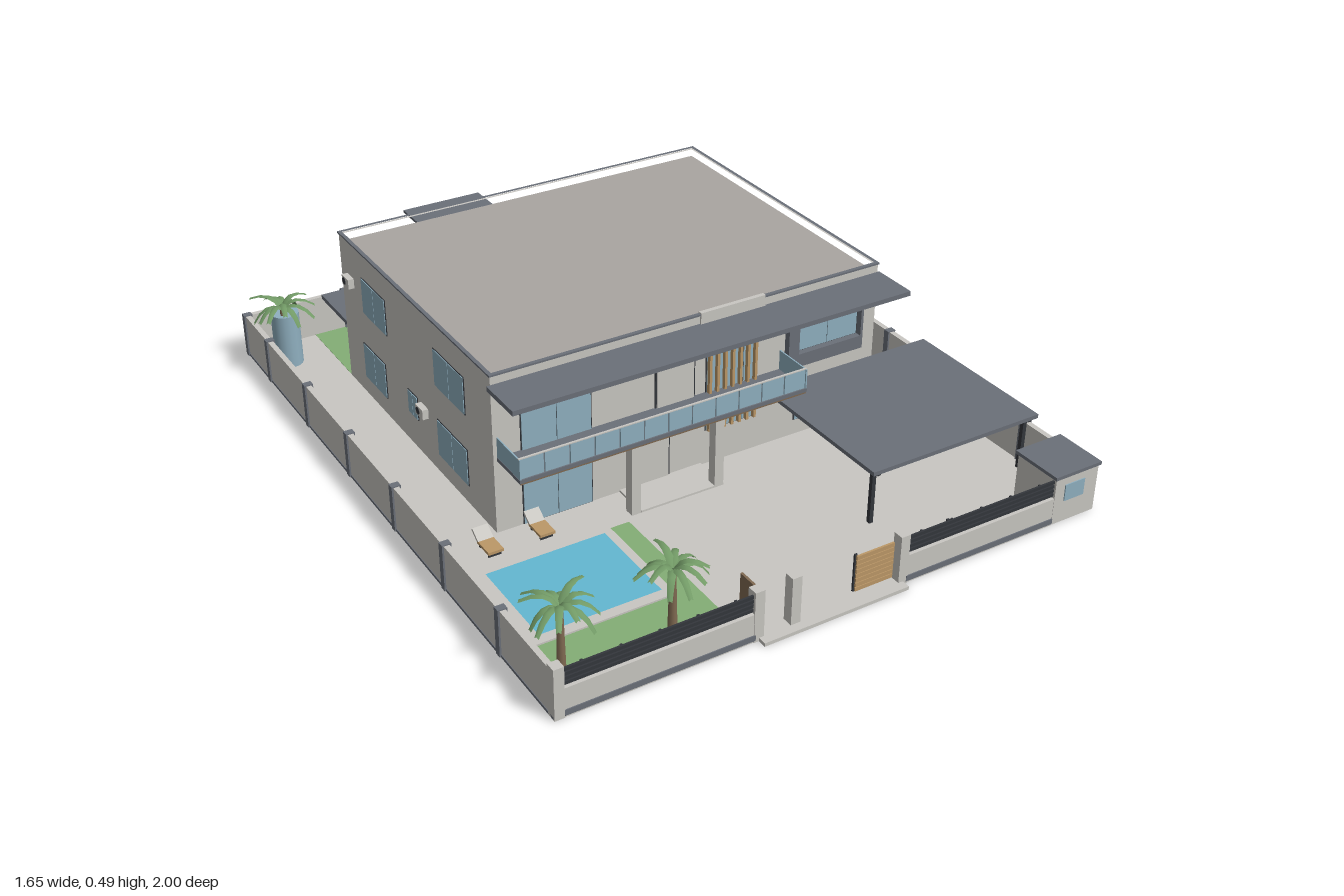
import * as THREE from 'three';

const mat = (name, color) => {
  const m = new THREE.MeshStandardMaterial({ color });
  m.name = name;
  return m;
};

export function createModel() {
  const M = {
    wall: mat('pale plaster', 0xc9c7c2), roof: mat('roof screed', 0xaaa5a1), slate: mat('slate grey', 0x6b7079),
    glass: mat('window glass', 0x90b0c0), water: mat('pool water', 0x63b8d2), grass: mat('lawn green', 0x84ae76),
    wood: mat('light timber', 0xbc9868), dark: mat('dark metal', 0x34373c), trunk: mat('brown', 0x806a52),
    leaf: mat('palm green', 0x729a66),
  };
  M.leaf.side = THREE.DoubleSide;
  const root = new THREE.Group();
  root.name = 'villa';
  const group = (name, parent = root) => {
    const g = new THREE.Group();
    g.name = name;
    parent.add(g);
    return g;
  };
  const add = (parent, name, geo, m) => {
    const mesh = new THREE.Mesh(geo, m);
    mesh.name = name;
    parent.add(mesh);
    return mesh;
  };
  // Box from its limits along each axis
  const box = (p, name, m, x0, x1, y0, y1, z0, z1) => {
    const b = add(p, name, new THREE.BoxGeometry(x1 - x0, y1 - y0, z1 - z0), m);
    b.position.set((x0 + x1) / 2, (y0 + y1) / 2, (z0 + z1) / 2);
    return b;
  };
  const rect = (x0, x1, z0, z1) => [[x0, z0], [x1, z0], [x1, z1], [x0, z1]];
  // Horizontal slab from an outline of [x, z] points
  const slab = (p, name, m, pts, holes, y, h) => {
    const v = (a) => a.map(([x, z]) => new THREE.Vector2(x, -z));
    const s = new THREE.Shape(v(pts));
    s.holes = holes.map((a) => new THREE.Path(v(a)));
    const g = new THREE.ExtrudeGeometry(s, { depth: h, bevelEnabled: false });
    add(p, name, g.rotateX(-Math.PI / 2), m).position.y = y;
  };

  // Plot, lawns and pool
  const plot = group('plot');
  const frontLawn = [[-0.8, 0.26], [-0.74, 0.26], [-0.74, 0.73], [-0.34, 0.73], [-0.34, 0.4], [-0.28, 0.4], [-0.28, 0.96], [-0.8, 0.96]];
  const backLawn = rect(-0.6, 0.605, -0.98, -0.7);
  const poolRect = rect(-0.71, -0.36, 0.41, 0.7);
  slab(plot, 'paving', M.wall, [[-0.81, -0.995], [0.815, -0.995], [0.815, 0.97], [0.175, 0.97], [0.175, 1], [-0.26, 1],
    [-0.26, 0.97], [-0.81, 0.97]], [frontLawn, backLawn, poolRect], 0, 0.01);
  slab(plot, 'frontLawn', M.grass, frontLawn, [], 0, 0.011);
  slab(plot, 'backLawn', M.grass, backLawn, [], 0, 0.011);
  slab(plot, 'poolWater', M.water, poolRect, [], 0, 0.01);
  slab(plot, 'poolRim', M.wall, rect(-0.74, -0.34, 0.4, 0.73), [poolRect], 0.01, 0.006);
  box(plot, 'backTerrace', M.wall, -0.49, 0.14, 0.002, 0.015, -0.92, -0.69);

  // Boundary walls with dark posts
  const fence = group('boundary');
  for (const s of [-1, 1]) {
    const c = s * 0.807;
    box(fence, 'sideWall', M.wall, c - 0.008, c + 0.008, 0, 0.135, -0.995, s < 0 ? 0.97 : 0.82);
    box(fence, 'sidePlinth', M.slate, c - 0.01, c + 0.01, 0, 0.008, -0.995, 0.97);
    for (const z of [0.7, 0.4, 0.1, -0.2, -0.5, -0.8, -0.987]) {
      box(fence, 'sidePost', M.slate, c - 0.013, c + 0.013, 0, 0.138, z - 0.01, z + 0.01);
    }
  }
  box(fence, 'backWall', M.wall, -0.807, 0.807, 0, 0.135, -0.995, -0.98);
  for (const x of [-0.49, -0.16, 0.17, 0.5]) box(fence, 'backPost', M.slate, x - 0.01, x + 0.01, 0, 0.138, -1, -0.974);
  for (const [x0, x1] of [[-0.79, -0.27], [0.185, 0.67]]) {
    box(fence, 'frontWall', M.wall, x0, x1, 0, 0.083, 0.957, 0.973);
    box(fence, 'frontPlinth', M.slate, x0, x1, 0.006, 0.022, 0.955, 0.976);
    for (let i = 0; i < 4; i++) box(fence, 'fenceRail', M.dark, x0, x1, 0.088 + i * 0.013, 0.097 + i * 0.013, 0.962, 0.968);
    for (let i = 0; i < 5; i++) {
      const x = x0 + ((i + 0.5) * (x1 - x0)) / 5;
      box(fence, 'fenceUpright', M.dark, x - 0.003, x + 0.003, 0.083, 0.137, 0.959, 0.963);
    }
  }
  for (const x of [-0.803, -0.26, -0.153, 0.175]) box(fence, 'gatePillar', M.wall, x - 0.014, x + 0.014, 0, 0.147, 0.945, 0.975);
  // Open gates
  for (let i = 0; i < 8; i++) box(fence, 'slidingGateSlat', M.wood, 0.045, 0.335, 0.012 + i * 0.0135, 0.0235 + i * 0.0135, 0.944, 0.95);
  for (const x of [0.045, 0.19, 0.335]) box(fence, 'slidingGateFrame', M.dark, x - 0.004, x + 0.004, 0.01, 0.122, 0.94, 0.945);
  box(fence, 'swingGate', M.trunk, -0.247, -0.24, 0.012, 0.13, 0.87, 0.945);

  // Gatehouse
  const hut = group('gatehouse');
  box(hut, 'hutWalls', M.wall, 0.672, 0.818, 0, 0.142, 0.825, 0.972);
  box(hut, 'hutRoof', M.slate, 0.665, 0.822, 0.142, 0.152, 0.82, 0.978);
  box(hut, 'hutWindow', M.glass, 0.705, 0.772, 0.065, 0.115, 0.97, 0.975);

  // House body, flat roof and parapet
  const house = group('house');
  const X0 = -0.6, X1 = 0.607, Z0 = -0.695, Z1 = 0.265;
  box(house, 'houseWalls', M.wall, X0, X1, 0.002, 0.45, Z0, Z1);
  box(house, 'roofDeck', M.roof, X0 + 0.008, X1 - 0.008, 0.45, 0.458, Z0 + 0.008, Z1 - 0.008);
  const outer = rect(X0, X1, Z0, Z1), inner = rect(X0 + 0.008, X1 - 0.008, Z0 + 0.008, Z1 - 0.008);
  slab(house, 'parapet', M.wall, outer, [inner], 0.45, 0.03);
  slab(house, 'parapetCoping', M.slate, rect(X0 - 0.003, X1 + 0.003, Z0 - 0.003, Z1 + 0.003), [inner], 0.48, 0.005);
  box(house, 'parapetRise', M.wall, 0.02, 0.225, 0.45, 0.489, Z1 - 0.008, Z1 + 0.005);
  box(house, 'frontEave', M.slate, -0.61, 0.613, 0.442, 0.456, Z1, 0.405);
  box(house, 'frontSoffit', M.trunk, -0.605, 0.608, 0.439, 0.442, Z1, 0.4);

  // Wall faces: local x runs along the wall, local z points out
  const face = (name, turn, dist) => {
    const g = group(name, house);
    g.rotation.y = turn;
    g.userData.d = dist;
    return g;
  };
  const front = face('frontFace', 0, Z1), back = face('backFace', Math.PI, -Z0);
  const sidePlus = face('leftFace', Math.PI / 2, X1), sideMinus = face('rightFace', -Math.PI / 2, -X0);
  const win = (g, a0, a1, y0, y1, panes = 2) => {
    const d = g.userData.d;
    box(g, 'windowFrame', M.dark, a0 - 0.002, a1 + 0.002, y0 - 0.002, y1 + 0.002, d - 0.002, d + 0.002);
    const w = (a1 - a0) / panes;
    for (let i = 0; i < panes; i++) {
      box(g, 'windowPane', M.glass, a0 + i * w + 0.001, a0 + (i + 1) * w - 0.001, y0, y1, d, d + 0.004);
    }
  };
  const door = (g, a0, a1, y0, y1, m) => {
    const d = g.userData.d;
    box(g, 'doorFrame', M.dark, a0, a1, y0, y1, d - 0.002, d + 0.003);
    box(g, 'doorLeaf', m, a0 + 0.005, a1 - 0.005, y0, y1 - 0.005, d, d + 0.006);
  };
  win(front, -0.52, -0.315, 0.24, 0.41);
  win(front, -0.52, -0.315, 0.012, 0.2);
  win(front, 0.34, 0.51, 0.06, 0.18);
  door(front, -0.12, 0.005, 0.24, 0.392, M.wall);
  door(front, -0.185, -0.073, 0.01, 0.165, M.wall);

  // Tall stair window with timber fins
  win(front, 0.042, 0.2, 0.12, 0.42, 4);
  for (let i = 0; i < 7; i++) {
    const x = 0.044 + i * 0.0245;
    box(front, 'timberFin', M.wood, x, x + 0.008, 0.12, 0.42, Z1, Z1 + 0.016);
  }
  // Framed bay window
  const hole = new THREE.Path([[0.335, 0.28], [0.545, 0.28], [0.545, 0.4], [0.335, 0.4]].map((a) => new THREE.Vector2(...a)));
  const bay = new THREE.Shape([[0.3, 0.24], [0.553, 0.24], [0.553, 0.435], [0.3, 0.435]].map((a) => new THREE.Vector2(...a)));
  bay.holes.push(hole);
  add(front, 'bayFrame', new THREE.ExtrudeGeometry(bay, { depth: 0.02, bevelEnabled: false }), M.slate).position.z = Z1;
  win(front, 0.338, 0.542, 0.283, 0.397);

  // Side windows and air conditioners, mirrored about the house
  for (const [g, s] of [[sidePlus, -1], [sideMinus, 1]]) {
    for (const [z0, z1, y0, y1] of [[-0.07, 0.11, 0.29, 0.4], [-0.545, -0.385, 0.29, 0.4], [-0.07, 0.11, 0.07, 0.18],
      [-0.26, -0.2, 0.11, 0.18], [-0.565, -0.415, 0.07, 0.18]]) {
      win(g, Math.min(s * z0, s * z1), Math.max(s * z0, s * z1), y0, y1);
    }
    for (const [z, y] of s < 0 ? [[-0.29, 0.355], [-0.62, 0.355], [-0.16, 0.165]] : [[-0.63, 0.355], [-0.155, 0.165]]) {
      const a = s * z, d = g.userData.d;
      box(g, 'airConditioner', M.wall, a - 0.023, a + 0.023, y - 0.015, y + 0.015, d, d + 0.018);
      const fan = add(g, 'airConditionerFan', new THREE.CylinderGeometry(0.011, 0.011, 0.002, 16).rotateX(Math.PI / 2), M.dark);
      fan.position.set(a - 0.008, y, d + 0.018);
    }
  }
  // Back windows and door (local x is reversed)
  for (const [x0, x1, y0, y1] of [[0.38, 0.48, 0.29, 0.39], [0.15, 0.27, 0.29, 0.39], [-0.54, -0.43, 0.29, 0.39],
    [-0.3, -0.13, 0.24, 0.395], [0, 0.16, 0.09, 0.165], [-0.47, -0.32, 0.012, 0.165]]) win(back, -x1, -x0, y0, y1);
  box(house, 'backDoorLeaf', M.dark, 0.375, 0.383, 0.012, 0.165, -0.77, Z0);

  // Balconies with glass railings; s is the outward z direction
  const balcony = (name, x0, x1, zWall, zOut, n) => {
    const g = group(name, house), s = Math.sign(zOut - zWall);
    const a = Math.min(zWall, zOut), b = Math.max(zWall, zOut), e = zOut - s * 0.006;
    box(g, 'balconySlab', M.slate, x0, x1, 0.229, 0.24, a, b);
    box(g, 'balconySoffit', M.trunk, x0 + 0.003, x1 - 0.003, 0.225, 0.229, a, b);
    const w = (x1 - x0) / n;
    for (let i = 0; i < n; i++) box(g, 'railGlass', M.glass, x0 + i * w + 0.002, x0 + (i + 1) * w - 0.002, 0.24, 0.298, e - 0.002, e + 0.002);
    box(g, 'handrail', M.wall, x0, x1, 0.298, 0.301, e - 0.003, e + 0.003);
    for (const x of [x0 + 0.003, x1 - 0.003]) box(g, 'sideRailGlass', M.glass, x - 0.002, x + 0.002, 0.24, 0.299, a, b);
  };
  balcony('frontBalcony', -0.59, 0.288, Z1, 0.39, 12);
  balcony('backBalcony', -0.34, -0.09, Z0, -0.81, 3);
  for (const x of [-0.245, 0.015]) box(house, 'porchColumn', M.wall, x - 0.014, x + 0.014, 0.01, 0.225, 0.35, 0.38);
  box(house, 'porchStep', M.wall, -0.23, 0.03, 0.01, 0.016, Z1, 0.38);

  // Canopies
  box(house, 'backBalconyCanopy', M.slate, -0.34, -0.09, 0.43, 0.438, -0.825, Z0);
  box(house, 'backCanopy', M.slate, -0.6, 0.25, 0.178, 0.192, -0.89, Z0);
  const carport = group('carport');
  box(carport, 'carportRoof', M.slate, 0.24, 0.797, 0.176, 0.188, Z1, 0.755);
  for (const x of [0.262, 0.775]) {
    box(carport, 'carportPost', M.dark, x - 0.006, x + 0.006, 0.01, 0.176, 0.72, 0.732);
    box(carport, 'carportBeam', M.dark, x - 0.005, x + 0.005, 0.168, 0.176, Z1, 0.75);
  }

  // Sun loungers and water tank
  for (const x of [-0.65, -0.5]) {
    const g = group('lounger');
    box(g, 'loungerSeat', M.wood, x - 0.022, x + 0.022, 0.022, 0.03, 0.295, 0.36);
    box(g, 'loungerBack', M.wall, x - 0.022, x + 0.022, 0, 0.008, -0.02, 0.02).position.set(x, 0.038, 0.283);
    g.children[1].rotation.x = 0.6;
    for (const z of [0.3, 0.35]) box(g, 'loungerLeg', M.dark, x - 0.018, x + 0.018, 0.01, 0.022, z - 0.003, z + 0.003);
  }
  add(root, 'waterTank', new THREE.CylinderGeometry(0.042, 0.042, 0.17, 16), M.glass).position.set(-0.73, 0.095, -0.865);

  // Palms: tapered trunk and drooping folded fronds
  const frond = (len) => {
    const g = new THREE.PlaneGeometry(0.022, len, 2, 4).rotateX(-Math.PI / 2).translate(0, 0, len / 2);
    const p = g.attributes.position;
    for (let i = 0; i < p.count; i++) {
      const t = p.getZ(i) / len, x = p.getX(i);
      p.setXYZ(i, x * (1 - 0.45 * t * t), 0.08 * t - 0.1 * t * t - Math.abs(x) * 0.4, p.getZ(i));
    }
    g.computeVertexNormals();
    return g;
  };
  [[-0.73, 0.85, 0.21], [-0.42, 0.84, 0.19], [-0.74, -0.85, 0.205]].forEach(([x, z, h], k) => {
    const g = group('palm');
    g.position.set(x, 0, z);
    add(g, 'palmTrunk', new THREE.CylinderGeometry(0.008, 0.013, h, 8), M.trunk).position.y = h / 2;
    for (let i = 0; i < 12; i++) {
      const f = add(g, 'palmFrond', frond(0.085 + 0.016 * ((i * 5 + k) % 3) / 2), M.leaf);
      f.position.y = h;
      f.rotation.set(((i * 7 + k) % 4) * 0.2 - 0.4, (i * Math.PI) / 6 + k * 0.4, 0, 'YXZ');
    }
  });
  return root;
}
